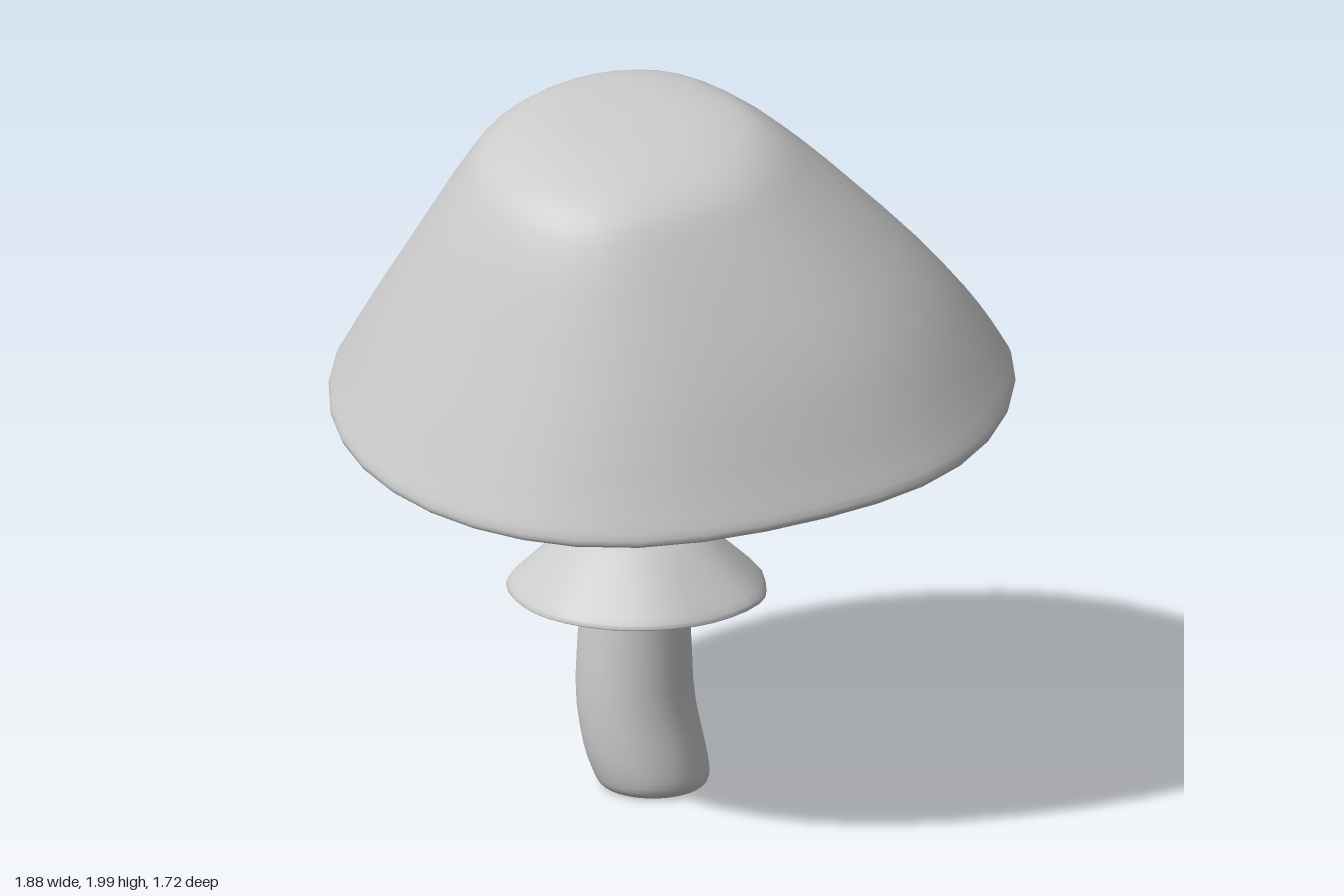
import * as THREE from 'three';

const SEG = 36;

// Slope-limited spline through rows of numbers, so lips never overshoot.
function refine(rows, steps) {
  const tangent = (i, k) => {
    if (i === 0 || i === rows.length - 1) {
      const a = Math.max(i - 1, 0), b = Math.min(i + 1, rows.length - 1);
      return rows[b][k] - rows[a][k];
    }
    const d0 = rows[i][k] - rows[i - 1][k], d1 = rows[i + 1][k] - rows[i][k];
    return d0 * d1 > 0 ? 2 * d0 * d1 / (d0 + d1) : 0;
  };
  const out = [];
  for (let i = 0; i < rows.length - 1; i++) {
    for (let s = 0; s < steps; s++) {
      const t = s / steps, t2 = t * t, t3 = t2 * t;
      out.push(rows[i].map((v, k) =>
        (2 * t3 - 3 * t2 + 1) * v + (t3 - 2 * t2 + t) * tangent(i, k) +
        (3 * t2 - 2 * t3) * rows[i + 1][k] + (t3 - t2) * tangent(i + 1, k)));
    }
  }
  out.push(rows[rows.length - 1]);
  return out;
}

// Skin over rings listed from the top outwards and down.
// Ring: [y, centre x, centre z, radius -x, radius +x, radius z, slope of y along z, wave]
function loft(name, rings, steps, pinch = 0) {
  const rows = refine(rings, steps), pos = [], idx = [];
  for (const [y, cx, cz, rl, rr, rz, slope, wave] of rows) {
    for (let j = 0; j < SEG; j++) {
      const a = j / SEG * Math.PI * 2, c = Math.cos(a), s = Math.sin(a);
      const ripple = wave * (Math.sin(a * 7) + 0.6 * Math.sin(a * 4 + 1));
      const p = c > 0 ? 1 - pinch * Math.sin(2 * a) ** 2 : 1;
      const z = cz + s * (rz * p + ripple);
      pos.push(cx + c * ((c > 0 ? rr : rl) + ripple), y + slope * z + ripple * 0.5, z);
    }
  }
  for (let i = 0; i < rows.length - 1; i++) {
    for (let j = 0; j < SEG; j++) {
      const k = (j + 1) % SEG, a = i * SEG, b = a + SEG;
      idx.push(a + j, a + k, b + j, a + k, b + k, b + j);
    }
  }
  const geo = new THREE.BufferGeometry();
  geo.setAttribute('position', new THREE.Float32BufferAttribute(pos, 3));
  geo.setIndex(idx);
  geo.computeVertexNormals();
  const mesh = new THREE.Mesh(geo, new THREE.MeshStandardMaterial({ color: 0xcccccc, side: THREE.DoubleSide }));
  mesh.name = name;
  return mesh;
}

// Round ring helper
const round = (y, cx, cz, r, slope = 0, wave = 0) => [y, cx, cz, r, r, r, slope, wave];

export function createModel() {
  const group = new THREE.Group();
  group.name = 'mushroom';

  // Cap: lopsided dome, tilted rim, then the underside flaring into the stem
  group.add(loft('cap', [
    round(1.983, -0.1, 0.1, 0.001, -0.14),
    round(1.978, -0.1, 0.11, 0.17, -0.14),
    [1.953, -0.1, 0.125, 0.3, 0.32, 0.325, -0.15, 0],
    [1.905, -0.1, 0.14, 0.39, 0.42, 0.42, -0.155, 0],
    [1.81, -0.09, 0.125, 0.475, 0.52, 0.5, -0.16, 0],
    [1.5, -0.055, 0.07, 0.7, 0.79, 0.675, -0.175, 0],
    [1.25, -0.07, 0.01, 0.83, 0.965, 0.82, -0.195, 0],
    [1.165, -0.07, 0, 0.875, 1.01, 0.858, -0.2, 0],
    [1.143, -0.07, 0, 0.865, 1.0, 0.85, -0.2, 0],
    [1.14, -0.07, 0, 0.83, 0.965, 0.82, -0.2, 0],
    [1.17, -0.07, 0, 0.78, 0.9, 0.77, -0.2, 0],
    [1.165, -0.07, 0, 0.6, 0.66, 0.6, -0.2, 0],
    round(1.135, -0.08, 0, 0.42, -0.19),
    round(1.09, -0.08, 0.01, 0.25, -0.14),
    round(1.055, -0.082, 0.005, 0.16, -0.08),
    round(0.99, -0.083, 0, 0.128),
  ], 3, 0.08));

  // Stem: leaning column with a rounded foot
  group.add(loft('stem', [
    round(1.06, -0.08, 0, 0.124),
    round(0.99, -0.083, 0, 0.127),
    round(0.75, -0.1, 0.014, 0.133),
    round(0.55, -0.105, 0.015, 0.148),
    round(0.3, -0.105, 0.018, 0.161),
    round(0.12, -0.078, 0.018, 0.166),
    round(0.035, -0.056, 0.018, 0.158),
    round(0.008, -0.053, 0.018, 0.143),
    round(0, -0.053, 0.018, 0.12),
    round(0, -0.053, 0.018, 0.001),
  ], 3));

  // Skirt: thin hollow collar with a rippled edge
  group.add(loft('skirt', [
    round(0.81, -0.096, 0.012, 0.126),
    round(0.765, -0.099, 0.014, 0.143),
    round(0.715, -0.1, 0.014, 0.205, 0, 0.001),
    round(0.64, -0.098, 0.013, 0.288, 0, 0.003),
    round(0.575, -0.096, 0.012, 0.352, 0, 0.005),
    round(0.562, -0.096, 0.012, 0.355, 0, 0.005),
    round(0.559, -0.096, 0.012, 0.338, 0, 0.005),
    round(0.615, -0.098, 0.013, 0.27, 0, 0.003),
    round(0.68, -0.1, 0.014, 0.19, 0, 0.001),
    round(0.7, -0.1, 0.014, 0.134),
  ], 3));

  return group;
}
